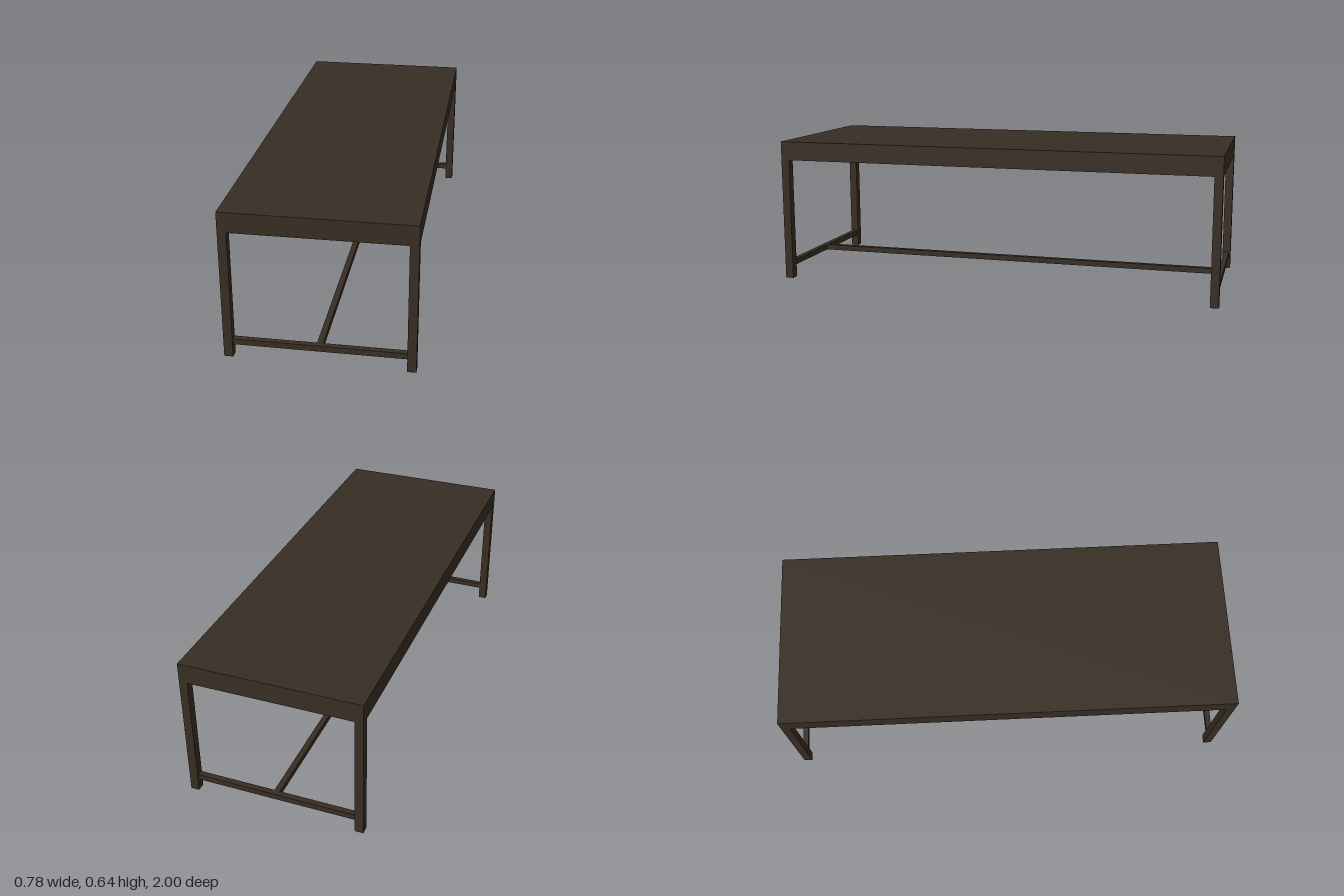
import * as THREE from 'three';

export function createModel() {
  const group = new THREE.Group();
  const darkWood = new THREE.MeshStandardMaterial({ color: 0x372d23 });
  darkWood.name = 'darkWood';

  // Dimensions
  const W = 0.78, L = 2, H = 0.642, topH = 0.085, leg = 0.037, bar = 0.025;
  const underside = H - topH;
  const barY = 0.0675;
  const legX = (W - leg) / 2, legZ = (L - leg) / 2;

  const addBox = (name, w, h, d, x, y, z) => {
    const mesh = new THREE.Mesh(new THREE.BoxGeometry(w, h, d), darkWood);
    mesh.name = name;
    mesh.position.set(x, y, z);
    group.add(mesh);
  };

  // Thick solid top
  addBox('tableTop', W, topH, L, 0, H - topH / 2, 0);

  for (const [end, sz] of [['front', 1], ['back', -1]]) {
    // Corner legs, flush with the top's edges
    for (const [side, sx] of [['Left', 1], ['Right', -1]]) {
      addBox(`${end}${side}Leg`, leg, underside, leg, sx * legX, underside / 2, sz * legZ);
    }
    // Low rail between the two legs of this end
    addBox(`${end}Rail`, W - 2 * leg, bar, bar, 0, barY, sz * legZ);
  }

  // Long stretcher joining the end rails
  addBox('stretcher', bar, bar, 2 * legZ - bar, 0, barY, 0);

  return group;
}
